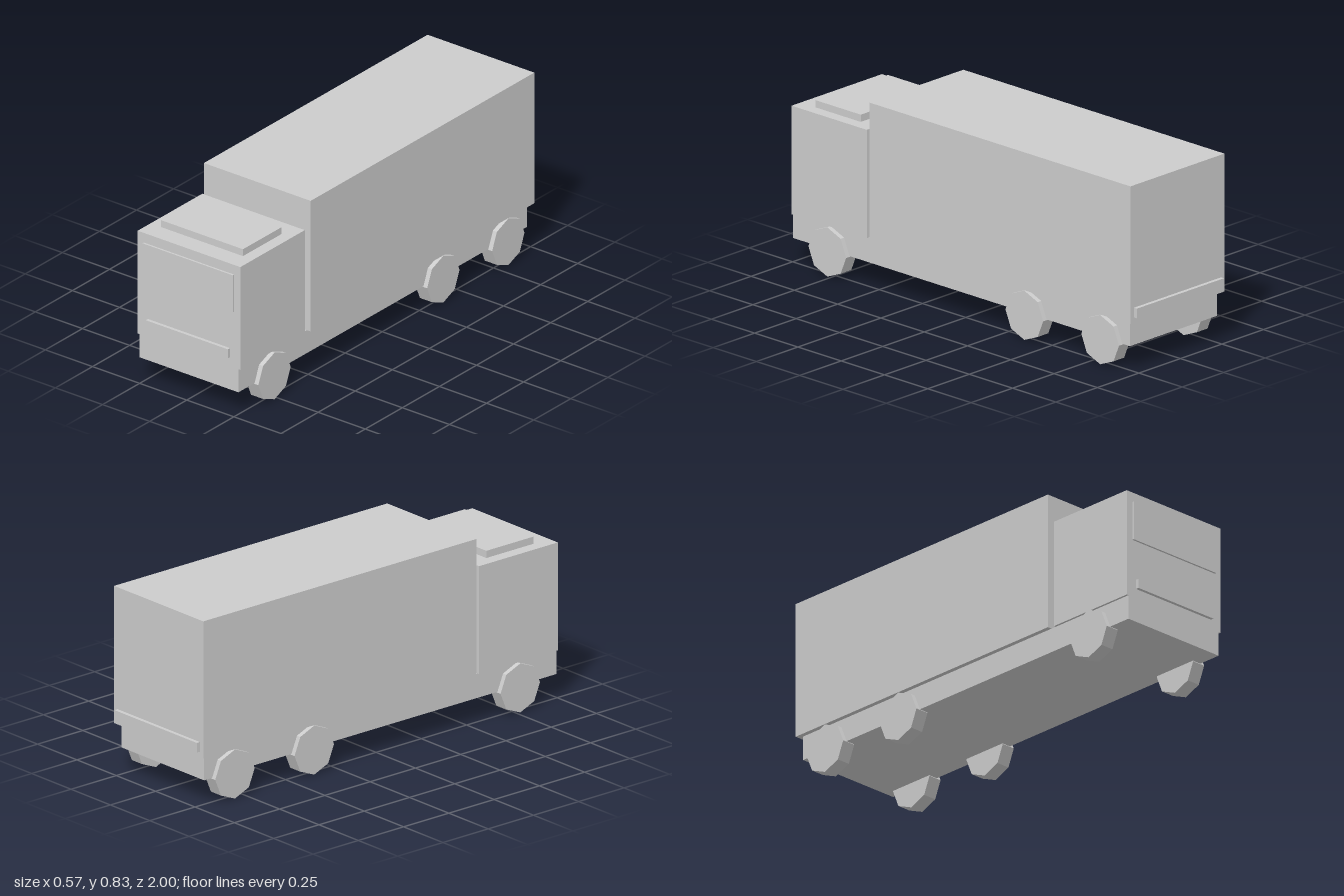
import * as THREE from 'three';

export function createModel() {
  const truck = new THREE.Group();
  truck.name = 'boxTruck';
  const grey = new THREE.MeshStandardMaterial({ color: 0xcccccc, flatShading: true });
  grey.name = 'light grey';

  // Box symmetric in x, given by half width and y and z ranges
  function block(name, halfWidth, y0, y1, z0, z1) {
    const mesh = new THREE.Mesh(new THREE.BoxGeometry(2 * halfWidth, y1 - y0, z1 - z0), grey);
    mesh.position.set(0, (y0 + y1) / 2, (z0 + z1) / 2);
    mesh.name = name;
    truck.add(mesh);
  }

  // Body
  block('chassis', 0.262, 0.112, 0.22, -0.96, 0.985);
  block('cab', 0.272, 0.22, 0.70, 0.55, 0.985);
  block('cargoBox', 0.283, 0.22, 0.83, -0.983, 0.525);

  // Details
  block('roofPanel', 0.218, 0.70, 0.732, 0.637, 0.898);
  block('windscreen', 0.24, 0.482, 0.655, 0.985, 0.994);
  block('frontBumper', 0.218, 0.263, 0.305, 0.985, 1.0);
  block('rearBumper', 0.262, 0.245, 0.288, -1.0, -0.983);

  // Eight-sided wheels standing on a corner
  const wheelGeometry = new THREE.CylinderGeometry(0.109, 0.109, 0.064, 8);
  wheelGeometry.rotateZ(Math.PI / 2);
  const axles = { front: 0.768, middle: -0.37, rear: -0.808 };
  for (const [axle, z] of Object.entries(axles)) {
    for (const side of [-1, 1]) {
      const wheel = new THREE.Mesh(wheelGeometry, grey);
      wheel.position.set(side * 0.251, 0.109, z);
      wheel.name = axle + (side > 0 ? 'LeftWheel' : 'RightWheel');
      truck.add(wheel);
    }
  }
  return truck;
}
